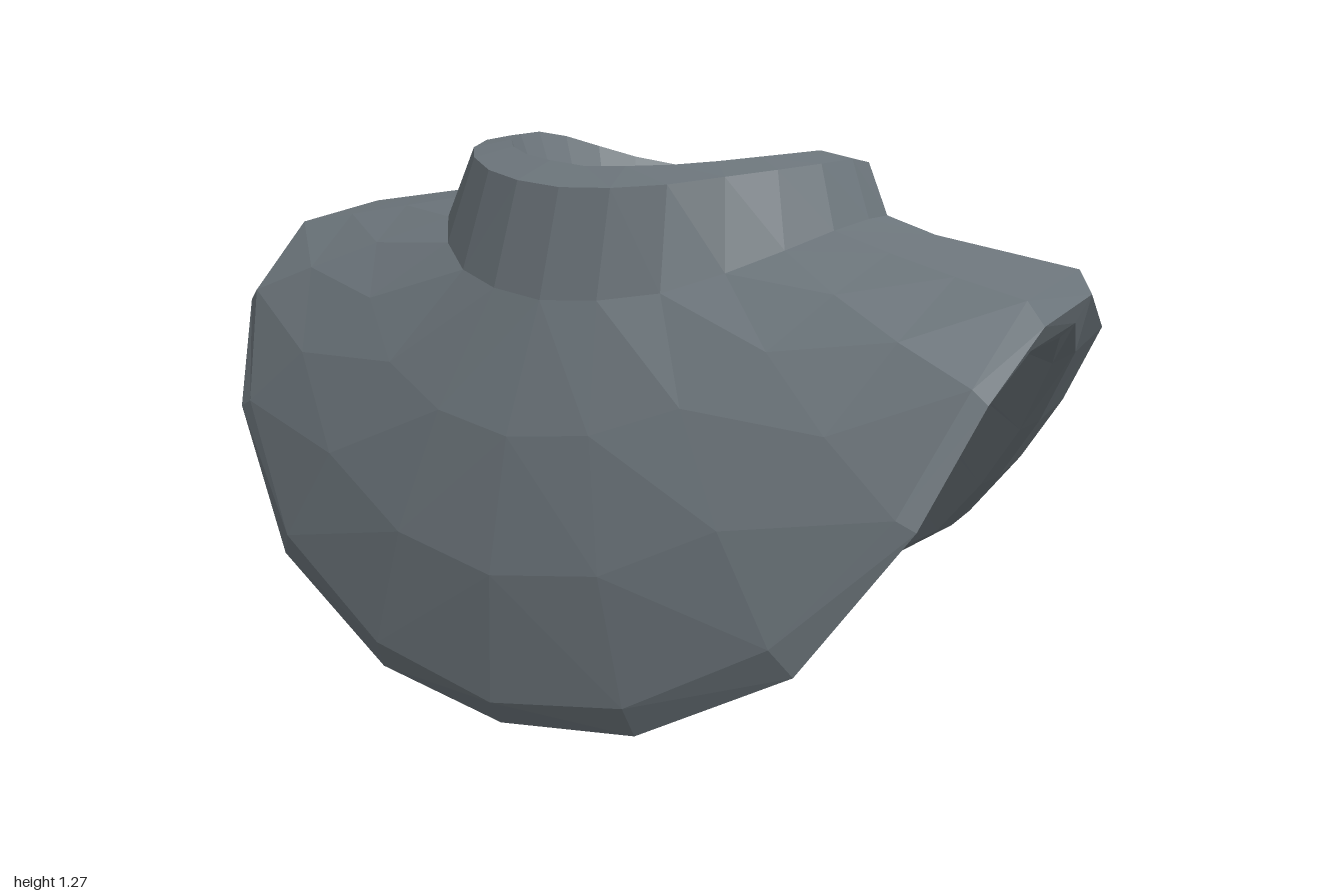
import * as THREE from 'three';

const HALF = 12; // steps from centre front to centre back

const fabric = new THREE.MeshStandardMaterial({ color: 0x6c757b, flatShading: true, side: THREE.DoubleSide });
fabric.name = 'slate grey';

const v = (x, y, z) => new THREE.Vector3(x, y, z);

// Closed ring from its left half (front to back), mirrored to the right
function mirrorRing(half) {
  const right = half.slice(1, -1).reverse().map(p => v(-p.x, p.y, p.z));
  return [...half, ...right];
}

// Oval ring with a height for every step from front to back
function oval(rx, zc, rz, heights) {
  return mirrorRing(heights.map((y, i) => {
    const t = (i / HALF) * Math.PI;
    return v(i % HALF ? rx * Math.sin(t) : 0, y, zc + rz * Math.cos(t));
  }));
}

const path = pts => mirrorRing(pts.map(p => v(...p)));

// Blend of two rings, with the front and back pushed outwards
function blend(a, b, k, front = 0, back = 0) {
  return a.map((p, i) => {
    const q = p.clone().lerp(b[i], k);
    const c = Math.cos((i / HALF) * Math.PI);
    q.z += c * (c > 0 ? front : back);
    return q;
  });
}

// Surface through a sequence of rings
function loft(name, rings) {
  const pos = [];
  const tri = (...pts) => {
    if (pts[0].equals(pts[1]) || pts[1].equals(pts[2]) || pts[0].equals(pts[2])) return;
    pts.forEach(p => pos.push(p.x, p.y, p.z));
  };
  for (let r = 0; r < rings.length - 1; r++) {
    const a = rings[r], b = rings[r + 1];
    for (let i = 0; i < a.length; i++) {
      const j = (i + 1) % a.length;
      // mirrored diagonals on the right half
      if (i < HALF) { tri(a[i], b[i], b[j]); tri(a[i], b[j], a[j]); }
      else { tri(a[i], b[i], a[j]); tri(b[i], b[j], a[j]); }
    }
  }
  const g = new THREE.BufferGeometry();
  g.setAttribute('position', new THREE.Float32BufferAttribute(pos, 3));
  g.computeVertexNormals();
  const mesh = new THREE.Mesh(g, fabric);
  mesh.name = name;
  return mesh;
}

export function createModel() {
  const group = new THREE.Group();
  group.name = 'shoulderCape';

  // Collar rings
  const rimInner = oval(0.385, 0.055, 0.355,
    [1.245, 1.25, 1.255, 1.262, 1.268, 1.27, 1.268, 1.25, 1.22, 1.19, 1.17, 1.155, 1.15]);
  const rimOuter = oval(0.468, 0.062, 0.442,
    [1.21, 1.215, 1.225, 1.24, 1.25, 1.255, 1.255, 1.235, 1.2, 1.165, 1.135, 1.115, 1.11]);
  const collarBase = oval(0.52, 0.08, 0.5,
    [0.98, 0.99, 1.01, 1.05, 1.09, 1.12, 1.13, 1.12, 1.08, 1.03, 0.98, 0.94, 0.92]);
  const apex = rimInner.map(() => v(0, 0.5, 0.22));

  // Hem rings: upper edge, outermost edge, rounded underside, inner edge
  const hemTop = path([
    [0, 0.14, 0.785], [0.33, 0.2, 0.77], [0.64, 0.38, 0.72], [0.85, 0.65, 0.61], [0.94, 0.89, 0.48],
    [0.965, 1.03, 0.28], [0.97, 1.05, 0], [0.93, 0.95, -0.19], [0.79, 0.72, -0.39], [0.65, 0.53, -0.52],
    [0.47, 0.31, -0.65], [0.26, 0.14, -0.74], [0, 0.06, -0.785]]);
  const hemEdge = path([
    [0, 0.08, 0.75], [0.34, 0.13, 0.74], [0.68, 0.32, 0.69], [0.89, 0.63, 0.6], [0.97, 0.86, 0.47],
    [1, 0.98, 0.27], [1, 1, 0], [0.96, 0.89, -0.2], [0.81, 0.66, -0.4], [0.66, 0.46, -0.54],
    [0.48, 0.25, -0.66], [0.27, 0.09, -0.72], [0, 0, -0.71]]);
  const hemInner = path([
    [0, 0.09, 0.64], [0.32, 0.15, 0.63], [0.62, 0.33, 0.58], [0.83, 0.61, 0.48], [0.9, 0.81, 0.39],
    [0.94, 0.9, 0.26], [0.95, 0.91, 0.04], [0.89, 0.82, -0.09], [0.76, 0.61, -0.26], [0.62, 0.42, -0.38],
    [0.45, 0.23, -0.52], [0.25, 0.09, -0.6], [0, 0.03, -0.63]]);
  const hemUnder = blend(blend(hemEdge, hemInner, 0.5), hemTop, -0.15);

  // Lining rings: top of the inside wall, and where the roof meets the funnel
  const liningTop = oval(0.52, 0.08, 0.35,
    [0.9, 0.91, 0.93, 0.95, 0.97, 0.98, 0.98, 0.97, 0.94, 0.91, 0.88, 0.86, 0.84]);
  const roofEdge = blend(rimInner, apex, 0.4);

  group.add(
    loft('neckFunnel', [apex, rimInner]),
    loft('collar', [rimInner, rimOuter, collarBase]),
    loft('cape', [
      collarBase,
      blend(collarBase, hemTop, 0.32, 0.06, 0.025),
      blend(collarBase, hemTop, 0.66, 0.06, 0.03),
      hemTop]),
    loft('hem', [hemTop, hemEdge, hemUnder, hemInner]),
    loft('lining', [hemInner, liningTop, roofEdge]),
  );
  return group;
}
